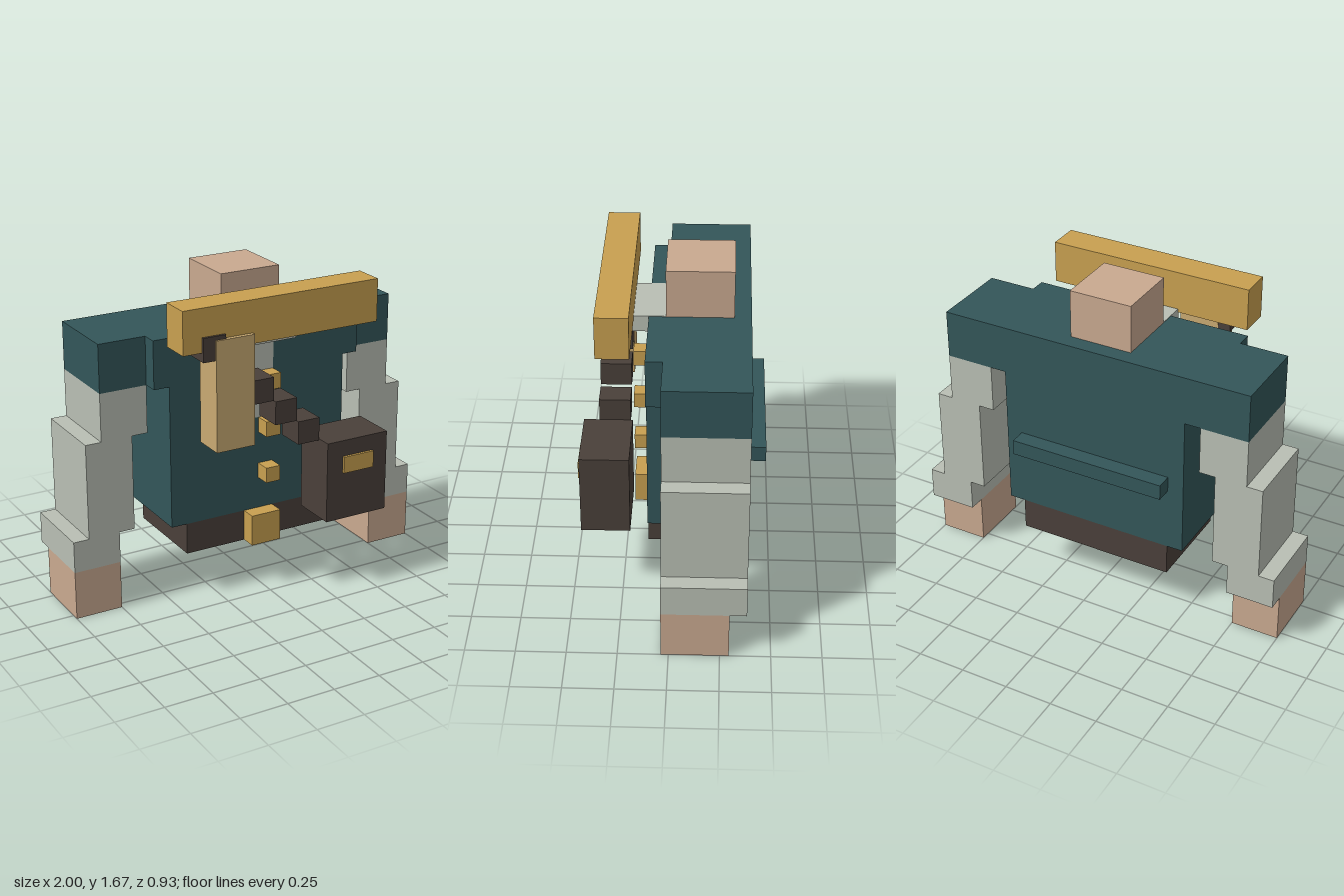
import * as THREE from 'three';

const paint = (name, color) => {
  const m = new THREE.MeshStandardMaterial({ color });
  m.name = name;
  return m;
};

export function createModel() {
  const teal = paint('teal cloth', 0x335659);
  const linen = paint('pale linen', 0xb9bfb4);
  const skin = paint('skin', 0xc9a990);
  const gold = paint('gold', 0xc8a050);
  const tan = paint('tan', 0xc9aa72);
  const leather = paint('dark leather', 0x4a403a);

  const model = new THREE.Group();
  model.name = 'coatedFigure';

  // Box given by its limits on each axis
  const box = (name, material, [x0, x1], [y0, y1], [z0, z1], parent = model) => {
    const mesh = new THREE.Mesh(new THREE.BoxGeometry(x1 - x0, y1 - y0, z1 - z0), material);
    mesh.position.set((x0 + x1) / 2, (y0 + y1) / 2, (z0 + z1) / 2);
    mesh.name = name;
    parent.add(mesh);
    return mesh;
  };

  // Shared depths
  const back = -0.379, chest = 0.121, armFront = 0.038, trim = 0.204;

  // Coat, hips and neck
  box('coatBody', teal, [-0.5, 0.5], [0.42, 1.17], [back, chest]);
  box('coatYoke', teal, [-0.583, 0.583], [1.17, 1.42], [back, chest]);
  box('backStrap', teal, [-0.416, 0.416], [0.755, 0.836], [-0.4625, back]);
  box('waistBelt', leather, [-0.416, 0.416], [0.255, 0.42], [back, chest]);
  box('neck', skin, [-0.165, 0.165], [1.42, 1.67], [-0.295, armFront]);

  // Shirt front, collar, buttons and buckle
  box('shirtFront', linen, [-0.083, 0.083], [0.92, 1.337], [chest, chest + 0.004]);
  box('collar', linen, [-0.165, 0.165], [1.337, 1.423], [armFront, trim]);
  for (const y of [0.587, 0.838, 1.088]) {
    box('button', gold, [0, 0.081], [y, y + 0.081], [chest, trim]);
  }
  box('beltBuckle', gold, [-0.083, 0.083], [0.255, 0.42], [chest, trim]);

  // Stepped arms, mirrored
  for (const side of [1, -1]) {
    const arm = new THREE.Group();
    arm.name = side > 0 ? 'leftArm' : 'rightArm';
    model.add(arm);
    const segment = (name, material, inner, outer, y, z0 = back) =>
      box(name, material, side > 0 ? [inner, outer] : [-outer, -inner], y, [z0, armFront], arm);
    segment('shoulder', teal, 0.583, 0.833, [1.17, 1.42]);
    segment('upperSleeve', linen, 0.583, 0.833, [0.92, 1.17]);
    segment('forearmSleeve', linen, 0.667, 0.917, [0.42, 0.92]);
    segment('cuff', linen, 0.75, 1, [0.255, 0.42]);
    segment('hand', skin, 0.75, 1, [0, 0.255], -0.295);
  }

  // Floating chest bar and hanging panel
  box('chestBar', gold, [-0.545, 0.542], [1.405, 1.625], [0.195, 0.357]);
  box('hangingPanel', tan, [-0.38, -0.17], [0.892, 1.46], [0.213, 0.38]);

  // Diagonal strap of cubes
  for (let i = 0; i < 5; i++) {
    const x = -0.383 + i * 0.132, y = 1.42 - i * 0.13, h = 0.061;
    box('strapCube', leather, [x - h, x + h], [y - h, y + h], [0.214, 0.371]);
  }

  // Pouch and clasp
  box('pouch', leather, [0.208, 0.562], [0.418, 0.845], [trim, 0.449]);
  box('pouchClasp', gold, [0.3, 0.475], [0.672, 0.76], [0.449, 0.4625]);

  return model;
}
